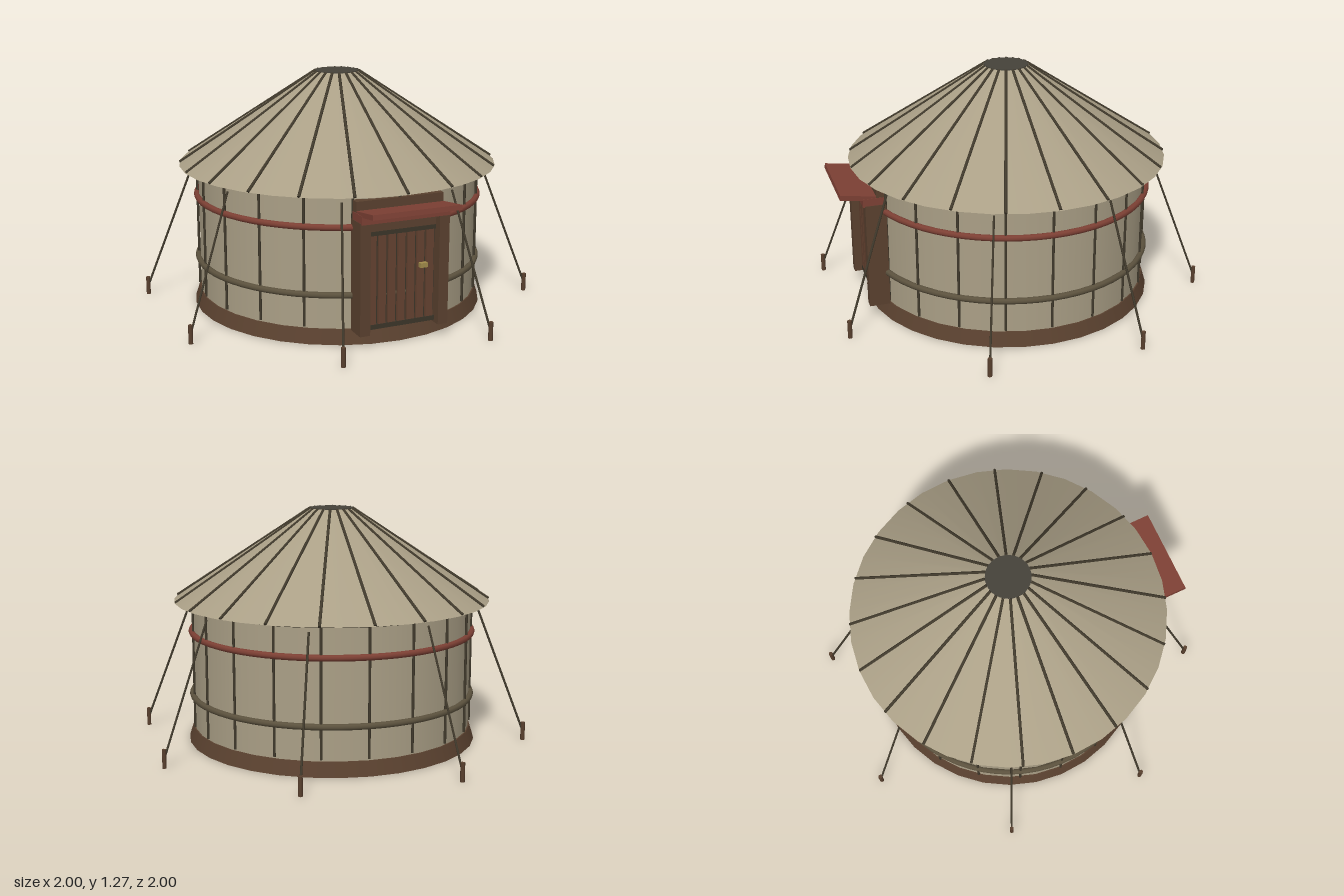
import * as THREE from 'three';

const mat = (color, side = THREE.FrontSide) => new THREE.MeshStandardMaterial({ color, side });

export function createModel() {
  const root = new THREE.Group();
  const canvas = mat(0xaa9f86, THREE.DoubleSide);
  const wood = mat(0x5a412f), plankWood = mat(0x644230), dark = mat(0x3b3529);
  const pole = mat(0x423b2d), red = mat(0x7d4034), olive = mat(0x5c523e);
  const crownMat = mat(0x45423a), brass = mat(0xa08a4a);

  const add = (name, geometry, material, x = 0, y = 0, z = 0, parent = root) => {
    const mesh = new THREE.Mesh(geometry, material);
    mesh.name = name;
    mesh.position.set(x, y, z);
    parent.add(mesh);
    return mesh;
  };
  const box = (name, w, h, d, material, x, y, z, parent) =>
    add(name, new THREE.BoxGeometry(w, h, d), material, x, y, z, parent);
  const polar = (angle, r, y) => new THREE.Vector3(Math.sin(angle) * r, y, Math.cos(angle) * r);

  // Round bar between two points
  const bar = (name, a, b, radius, material, parent) => {
    const dir = b.clone().sub(a);
    const mid = a.clone().add(b).multiplyScalar(0.5);
    const mesh = add(name, new THREE.CylinderGeometry(radius, radius, dir.length(), 6), material,
      mid.x, mid.y, mid.z, parent);
    mesh.quaternion.setFromUnitVectors(new THREE.Vector3(0, 1, 0), dir.normalize());
    return mesh;
  };
  const ring = (name, r, tube, y, material) => {
    add(name, new THREE.TorusGeometry(r, tube, 8, 64), material, 0, y, 0).rotation.x = Math.PI / 2;
  };

  // Base, wall and open-bottomed roof
  add('base', new THREE.CylinderGeometry(0.772, 0.797, 0.075, 32), wood, 0, 0.0375, 0);
  add('wall', new THREE.CylinderGeometry(0.765, 0.765, 0.7, 32, 1, true), canvas, 0, 0.42, 0);
  add('roof', new THREE.CylinderGeometry(0.115, 0.865, 0.495, 32, 1, true), canvas, 0, 1.0225, 0);
  add('crown', new THREE.CylinderGeometry(0.118, 0.118, 0.05, 32), crownMat, 0, 1.247, 0);

  // Rings tied around the wall
  ring('eaveRing', 0.775, 0.01, 0.765, pole);
  ring('upperBand', 0.773, 0.017, 0.605, red);
  ring('lowerBand', 0.773, 0.017, 0.255, olive);

  // Wall poles and roof ribs, twenty of each
  const poles = new THREE.Group();
  poles.name = 'wallPoles';
  const ribs = new THREE.Group();
  ribs.name = 'roofRibs';
  root.add(poles, ribs);
  for (let i = 0; i < 20; i++) {
    const a = (i / 20) * Math.PI * 2;
    bar('wallPole', polar(a, 0.77, 0.085), polar(a, 0.77, 0.765), 0.007, pole, poles);
    bar('roofRib', polar(a, 0.862, 0.779), polar(a, 0.118, 1.268), 0.008, pole, ribs);
  }

  // Guy ropes with their stakes
  const guys = new THREE.Group();
  guys.name = 'guyRopes';
  root.add(guys);
  for (let i = 0; i < 8; i++) {
    const a = 0.4 + (i / 8) * Math.PI * 2;
    bar('guyRope', polar(a, 0.8, 0.74), polar(a, 1.063, 0.06), 0.006, pole, guys);
    bar('stake', polar(a, 1.067, 0), polar(a, 1.067, 0.1), 0.012, wood, guys);
  }

  // Door frame
  const door = new THREE.Group();
  door.name = 'doorway';
  root.add(door);
  for (const s of [-1, 1]) box('doorPost', 0.055, 0.58, 0.11, wood, s * 0.217, 0.36, 0.785, door);
  box('doorHeader', 0.38, 0.06, 0.07, wood, 0, 0.62, 0.765, door);
  box('headerBoard', 0.48, 0.11, 0.05, wood, 0, 0.69, 0.755, door);
  box('lintel', 0.485, 0.045, 0.11, red, 0, 0.667, 0.795, door);
  box('canopy', 0.48, 0.026, 0.22, red, 0, 0.697, 0.857, door).rotation.x = -0.14;

  // Door leaf with seven planks between two rails
  box('doorPanel', 0.39, 0.51, 0.05, dark, 0, 0.335, 0.76, door);
  for (const y of [0.095, 0.58]) box('doorRail', 0.38, 0.025, 0.04, dark, 0, y, 0.78, door);
  for (let i = -3; i <= 3; i++) box('doorPlank', 0.04, 0.46, 0.03, plankWood, i * 0.053, 0.338, 0.785, door);
  box('doorHandle', 0.04, 0.024, 0.025, brass, 0.115, 0.39, 0.81, door);

  return root;
}
